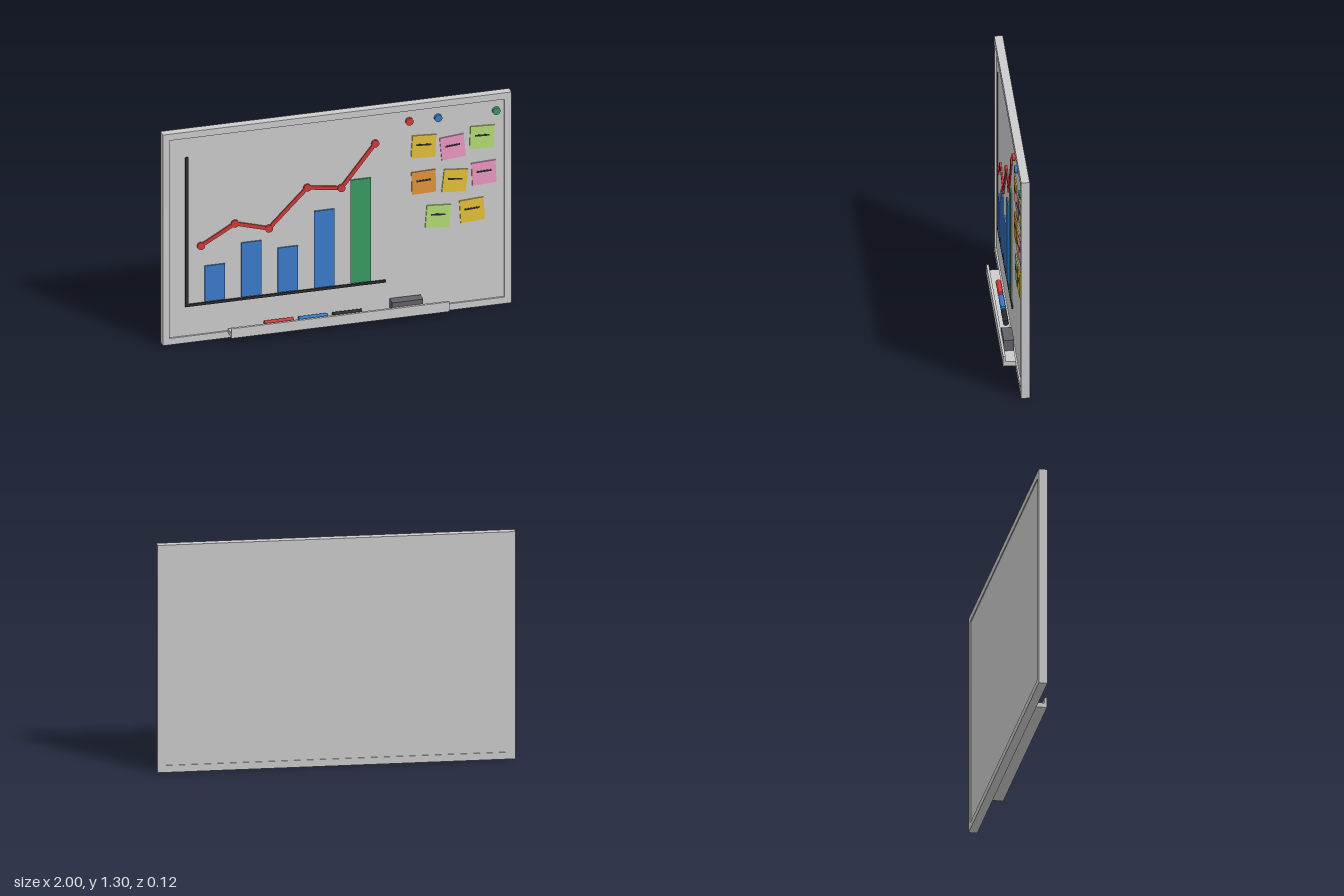
import * as THREE from 'three';

const GREY = 0xcccccc, RED = 0xd23a3a, BLUE = 0x3a7acb, GREEN = 0x389a62, DARK = 0x2c2c30;
const YELLOW = 0xe3c23a, PINK = 0xec98bf, LIME = 0xb4dd74, ORANGE = 0xe3943a;
const FACE = -0.022; // z of the writing surface

const materials = new Map();
function material(color) {
  if (!materials.has(color)) materials.set(color, new THREE.MeshStandardMaterial({ color }));
  return materials.get(color);
}

function add(parent, name, geometry, color, x, y, z) {
  const mesh = new THREE.Mesh(geometry, material(color));
  mesh.name = name;
  mesh.position.set(x, y, z);
  parent.add(mesh);
  return mesh;
}

// Box given by its limits on each axis
function box(parent, name, color, [x0, x1], [y0, y1], [z0, z1]) {
  return add(parent, name, new THREE.BoxGeometry(x1 - x0, y1 - y0, z1 - z0), color,
    (x0 + x1) / 2, (y0 + y1) / 2, (z0 + z1) / 2);
}

// Round disc lying on the writing surface
function disc(parent, name, color, x, y, radius, depth) {
  const geometry = new THREE.CylinderGeometry(radius, radius, depth, 20).rotateX(Math.PI / 2);
  return add(parent, name, geometry, color, x, y, FACE + depth / 2);
}

function group(parent, name) {
  const g = new THREE.Group();
  g.name = name;
  parent.add(g);
  return g;
}

function rectangle(path, x0, y0, x1, y1) {
  path.moveTo(x0, y0);
  path.lineTo(x1, y0);
  path.lineTo(x1, y1);
  path.lineTo(x0, y1);
  path.closePath();
  return path;
}

export function createModel() {
  const model = new THREE.Group();
  model.name = 'whiteboard';

  // Frame around a slightly recessed panel
  const outline = rectangle(new THREE.Shape(), -1, 0, 1, 1.305);
  outline.holes.push(rectangle(new THREE.Path(), -0.96, 0.04, 0.96, 1.265));
  const frame = new THREE.ExtrudeGeometry(outline, { depth: 0.048, bevelEnabled: false });
  add(model, 'frame', frame, GREY, 0, 0, -0.06);
  box(model, 'panel', GREY, [-0.96, 0.96], [0.04, 1.265], [-0.055, FACE]);

  // Chart axes and bars
  const chart = group(model, 'chart');
  box(chart, 'verticalAxis', DARK, [-0.87, -0.853], [0.22, 1.145], [FACE, -0.014]);
  box(chart, 'horizontalAxis', DARK, [-0.853, 0.28], [0.22, 0.235], [FACE, -0.014]);
  [0.46, 0.575, 0.515, 0.715, 0.88].forEach((top, i) => {
    const x = -0.7 + i * 0.209;
    box(chart, 'bar', i === 4 ? GREEN : BLUE, [x - 0.058, x + 0.058], [0.24, top], [FACE, -0.014]);
  });

  // Trend line with round points
  const trend = [[-0.78, 0.587], [-0.585, 0.7], [-0.39, 0.643], [-0.17, 0.867], [0.025, 0.838], [0.22, 1.088]];
  trend.forEach(([x, y], i) => {
    disc(chart, 'trendPoint', RED, x, y, 0.022, 0.0125);
    if (i === 0) return;
    const [px, py] = trend[i - 1];
    const bar = new THREE.BoxGeometry(Math.hypot(x - px, y - py), 0.022, 0.009);
    add(chart, 'trendSegment', bar, RED, (x + px) / 2, (y + py) / 2, FACE + 0.0045)
      .rotation.z = Math.atan2(y - py, x - px);
  });

  // Magnets
  [[0.415, RED], [0.58, BLUE], [0.913, GREEN]].forEach(([x, color]) =>
    disc(model, 'magnet', color, x, 1.2, 0.022, 0.017));

  // Sticky notes: x, y, tilt, colour
  [
    [0.498, 1.033, -0.06, YELLOW], [0.664, 1.007, 0.09, PINK], [0.832, 1.047, -0.04, LIME],
    [0.498, 0.812, 0.03, ORANGE], [0.677, 0.798, -0.11, YELLOW], [0.843, 0.824, 0.04, PINK],
    [0.58, 0.59, -0.08, LIME], [0.775, 0.602, 0.06, YELLOW],
  ].forEach(([x, y, tilt, color]) => {
    const note = group(model, 'stickyNote');
    note.position.set(x, y, FACE);
    note.rotation.z = tilt;
    box(note, 'paper', color, [-0.069, 0.069], [-0.069, 0.069], [0, 0.007]);
    box(note, 'penStroke', DARK, [-0.042, 0.042], [0.006, 0.016], [0.007, 0.009]);
  });

  // Pen tray with a front lip
  const section = new THREE.Shape();
  [[-0.012, 0.03], [0.06, 0.03], [0.06, 0.09], [0.046, 0.09], [0.046, 0.057], [-0.012, 0.057]]
    .forEach(([z, y], i) => (i ? section.lineTo(z, y) : section.moveTo(z, y)));
  const tray = new THREE.ExtrudeGeometry(section, { depth: 1.25, bevelEnabled: false });
  tray.rotateY(-Math.PI / 2);
  add(model, 'tray', tray, GREY, 0.625, 0, 0);

  // Markers and eraser
  [[-0.34, RED], [-0.143, BLUE], [0.052, DARK]].forEach(([x, color]) => {
    const marker = new THREE.CylinderGeometry(0.015, 0.015, 0.165, 16).rotateZ(Math.PI / 2);
    add(model, 'marker', marker, color, x, 0.072, 0.008);
  });
  box(model, 'eraser', 0x606068, [0.3, 0.477], [0.057, 0.12], [-0.012, 0.046]);

  return model;
}
